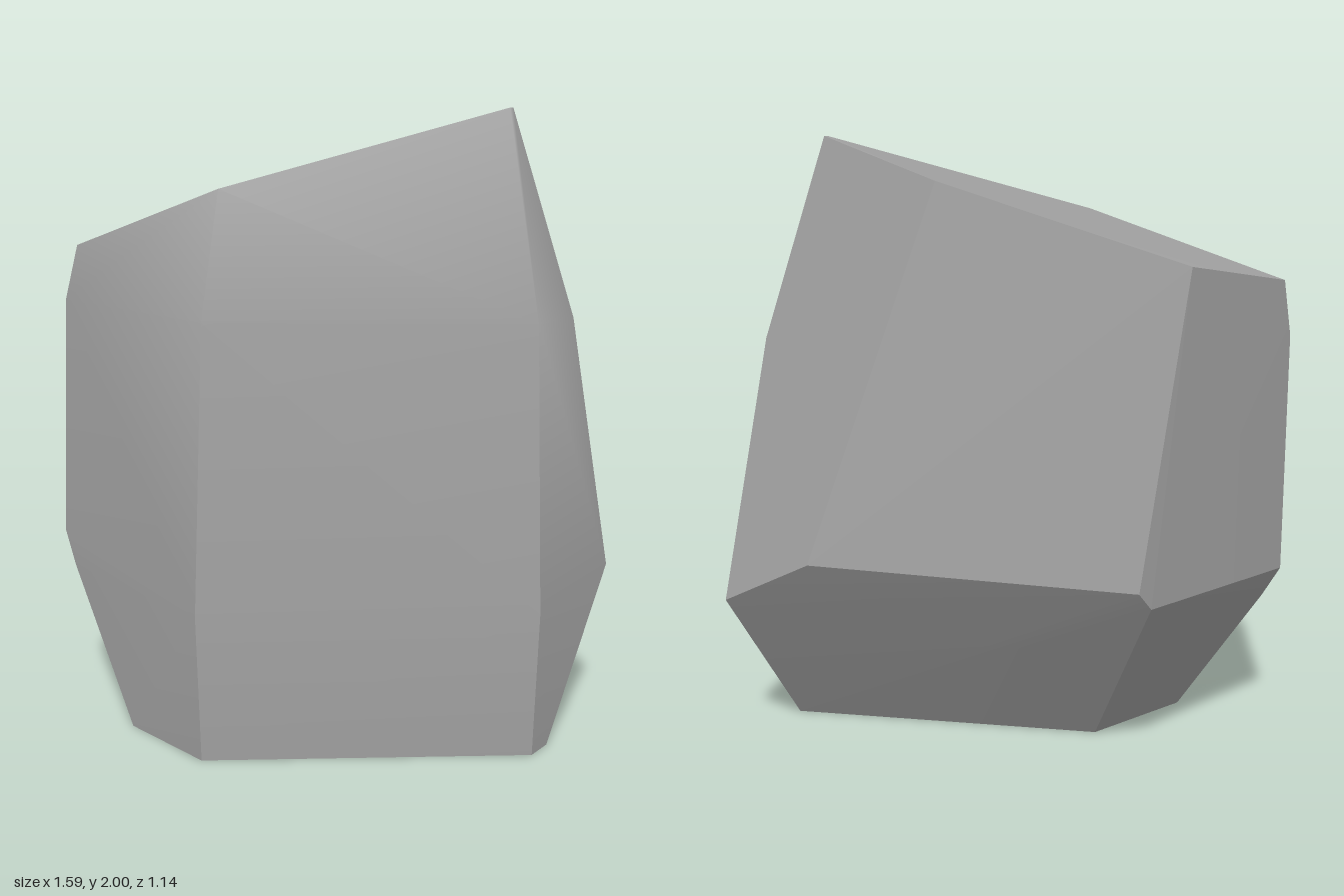
import * as THREE from 'three';
import { ConvexGeometry } from 'three/addons/geometries/ConvexGeometry.js';

// Corner points of the boulder, ring by ring
const CORNERS = [
  // sloping top
  [-0.64, 1.63, -0.14], [0.11, 1.87, -0.33], [0.58, 2, -0.22], [0.58, 2, -0.2],
  [-0.07, 1.76, 0.4], [-0.79, 1.56, 0.29],
  // shoulder
  [-0.8, 1.38, 0.34], [-0.05, 1.37, 0.51], [0.74, 1.36, -0.12], [0.74, 1.36, -0.35],
  // widest girth
  [-0.785, 0.59, 0.39], [-0.72, 0.48, 0.41], [-0.04, 0.47, 0.57], [0.79, 0.47, -0.09],
  [0.79, 0.52, -0.555], [0.45, 0.69, -0.57], [-0.55, 0.66, -0.28], [-0.57, 0.6, -0.23],
  // foot
  [-0.4, 0, 0.48], [-0.04, 0, 0.55], [0.77, 0, -0.1], [0.77, 0, -0.2], [-0.24, 0, 0.11],
];

// Softens the front and right walls: fully at the shoulder, only gentle bends lower down
function softenWalls(geometry) {
  const pos = geometry.attributes.position;
  const outward = new THREE.Vector3(0.63, 0, 0.78);
  const faces = [];
  for (let i = 0; i < pos.count; i += 3) {
    const p = [0, 1, 2].map((k) => new THREE.Vector3().fromBufferAttribute(pos, i + k));
    const area = p[1].clone().sub(p[0]).cross(p[2].clone().sub(p[0]));
    const normal = area.clone().normalize();
    const wall = Math.abs(normal.y) < 0.6 && normal.dot(outward) > 0.3;
    faces.push({ p, area, normal, wall });
  }
  faces.forEach((face, f) => face.p.forEach((corner, k) => {
    const sum = new THREE.Vector3();
    for (const other of faces) {
      if (!other.p.some((q) => q.distanceTo(corner) < 1e-4)) continue;
      const angle = face.normal.angleTo(other.normal);
      const soft = face.wall && other.wall && (corner.y > 1 || angle < 0.55);
      if (soft || angle < 0.05) sum.add(other.area);
    }
    sum.normalize();
    geometry.attributes.normal.setXYZ(f * 3 + k, sum.x, sum.y, sum.z);
  }));
  return geometry;
}

export function createModel() {
  const stone = new THREE.MeshStandardMaterial({ color: 0xa0a0a0 });
  stone.name = 'stone grey';

  const hull = new ConvexGeometry(CORNERS.map((c) => new THREE.Vector3(...c)));
  const boulder = new THREE.Mesh(softenWalls(hull), stone);
  boulder.name = 'boulder';

  const group = new THREE.Group();
  group.name = 'rock';
  group.add(boulder);
  return group;
}
